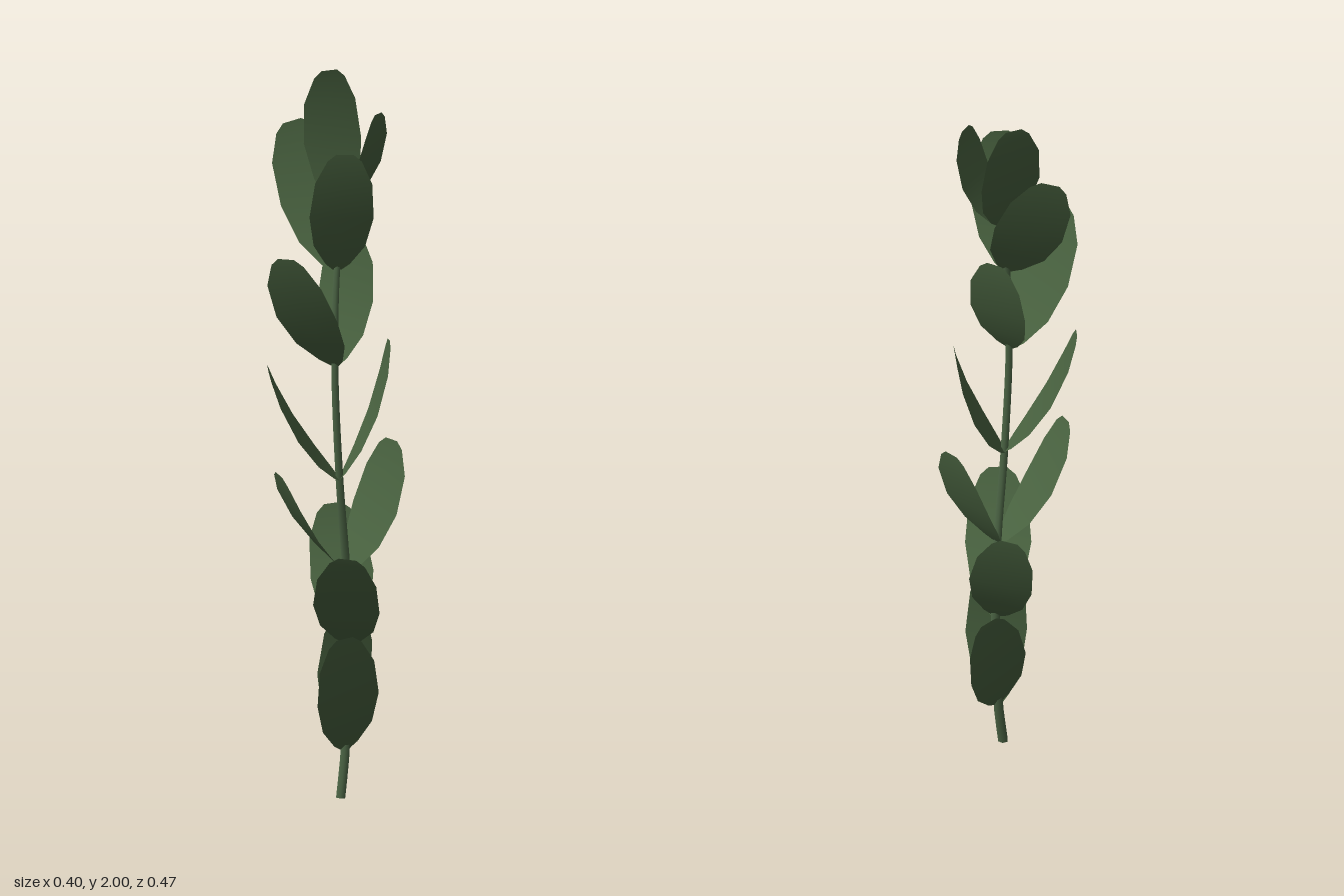
import * as THREE from 'three';

const V = (a) => new THREE.Vector3(...a);

// Leaf pairs: node on the stem, then for each leaf the offset to its tip and its width direction
const PAIRS = [
  { node: [0.02, 0.13, -0.05], leaves: [[[0.085, 0.355, 0.13], [-0.6, -0.25, 0.7]], [[-0.07, 0.355, -0.145], [0.4, -0.3, -0.85]]] },
  { node: [0.015, 0.42, -0.07], leaves: [[[0.14, 0.31, 0.21], [0.8, -0.1, -0.42]], [[-0.13, 0.34, -0.12], [-0.85, -0.2, 0.42]]] },
  { node: [0.03, 0.63, -0.04], leaves: [[[-0.075, 0.31, 0.21], [0.8, -0.15, 0.48]], [[0.045, 0.34, -0.15], [-0.93, 0, -0.2]]] },
  { node: [0.035, 0.9, 0], leaves: [[[-0.12, 0.33, 0.165], [0.6, -0.15, 0.75]], [[0.065, 0.365, -0.14], [-0.65, -0.17, -0.72]]] },
  { node: [0.03, 1.22, 0.015], leaves: [[[-0.01, 0.35, 0.22], [0.98, 0, -0.13]], [[-0.04, 0.34, -0.125], [-1, 0, 0.13]]] },
  { node: [0.02, 1.48, -0.01], leaves: [[[0.09, 0.36, 0.095], [0.75, -0.05, -0.6]], [[-0.185, 0.37, -0.06], [-0.75, -0.27, 0.6]]] },
  { node: [0.02, 1.64, -0.04], leaves: [[[0.1, 0.28, -0.02], [0.05, 0, 1]], [[-0.085, 0.36, -0.06], [0.5, 0.05, -0.85]]] },
];

// Half width of the blade at points along it, both as fractions of its length
const BLADE = [[0, 0.03], [0.06, 0.085], [0.24, 0.18], [0.5, 0.225], [0.78, 0.2], [0.95, 0.12], [1, 0.06]];

// Rounded blade that leaves the stem outward and curls gently upward
function leafGeometry(base, offset, width) {
  const length = offset.length();
  const dir = offset.clone().normalize();
  const side = width.clone().addScaledVector(dir, -width.dot(dir)).normalize();
  const under = new THREE.Vector3().crossVectors(dir, side).normalize();
  if (under.y > 0) { under.negate(); side.negate(); }
  const pos = [], index = [];
  BLADE.forEach(([t, half], i) => {
    const mid = base.clone().addScaledVector(offset, t).addScaledVector(under, 0.1 * t * (1 - t));
    for (const s of [-1, 0, 1]) pos.push(...mid.clone().addScaledVector(side, s * half * length).toArray());
    if (i === 0) return;
    for (let k = 0; k < 2; k++) {
      const a = (i - 1) * 3 + k, b = a + 3;
      index.push(a, b, a + 1, a + 1, b, b + 1);
    }
  });
  const g = new THREE.BufferGeometry();
  g.setAttribute('position', new THREE.Float32BufferAttribute(pos, 3));
  g.setIndex(index);
  g.computeVertexNormals();
  return g;
}

// Gently winding stem through the nodes, thinner toward the top
function stemGeometry() {
  const points = [V([0.02, 0, -0.028]), ...PAIRS.map((p) => V(p.node)), V([0.02, 1.68, -0.047])];
  const curve = new THREE.CatmullRomCurve3(points);
  const rings = 32, sides = 6;
  const g = new THREE.TubeGeometry(curve, rings, 1, sides, false);
  const p = g.attributes.position, v = new THREE.Vector3();
  for (let i = 0; i < p.count; i++) {
    const t = Math.floor(i / (sides + 1)) / rings;
    const c = curve.getPointAt(t);
    v.fromBufferAttribute(p, i).sub(c).multiplyScalar(0.014 - 0.005 * t).add(c);
    p.setXYZ(i, v.x, Math.max(0, v.y), v.z);
  }
  return g;
}

export function createModel() {
  const leafGreen = new THREE.MeshStandardMaterial({ color: 0x48613f, side: THREE.DoubleSide });
  leafGreen.name = 'leafGreen';
  const stemGreen = new THREE.MeshStandardMaterial({ color: 0x4c6545, side: THREE.DoubleSide });
  stemGreen.name = 'stemGreen';

  const model = new THREE.Group();
  model.name = 'leafySprig';

  const stem = new THREE.Mesh(stemGeometry(), stemGreen);
  stem.name = 'stem';
  model.add(stem);

  PAIRS.forEach(({ node, leaves }, i) => {
    const pair = new THREE.Group();
    pair.name = `leafPair${i + 1}`;
    for (const [offset, width] of leaves) {
      const leaf = new THREE.Mesh(leafGeometry(V(node), V(offset), V(width)), leafGreen);
      leaf.name = 'leaf';
      pair.add(leaf);
    }
    model.add(pair);
  });
  return model;
}
